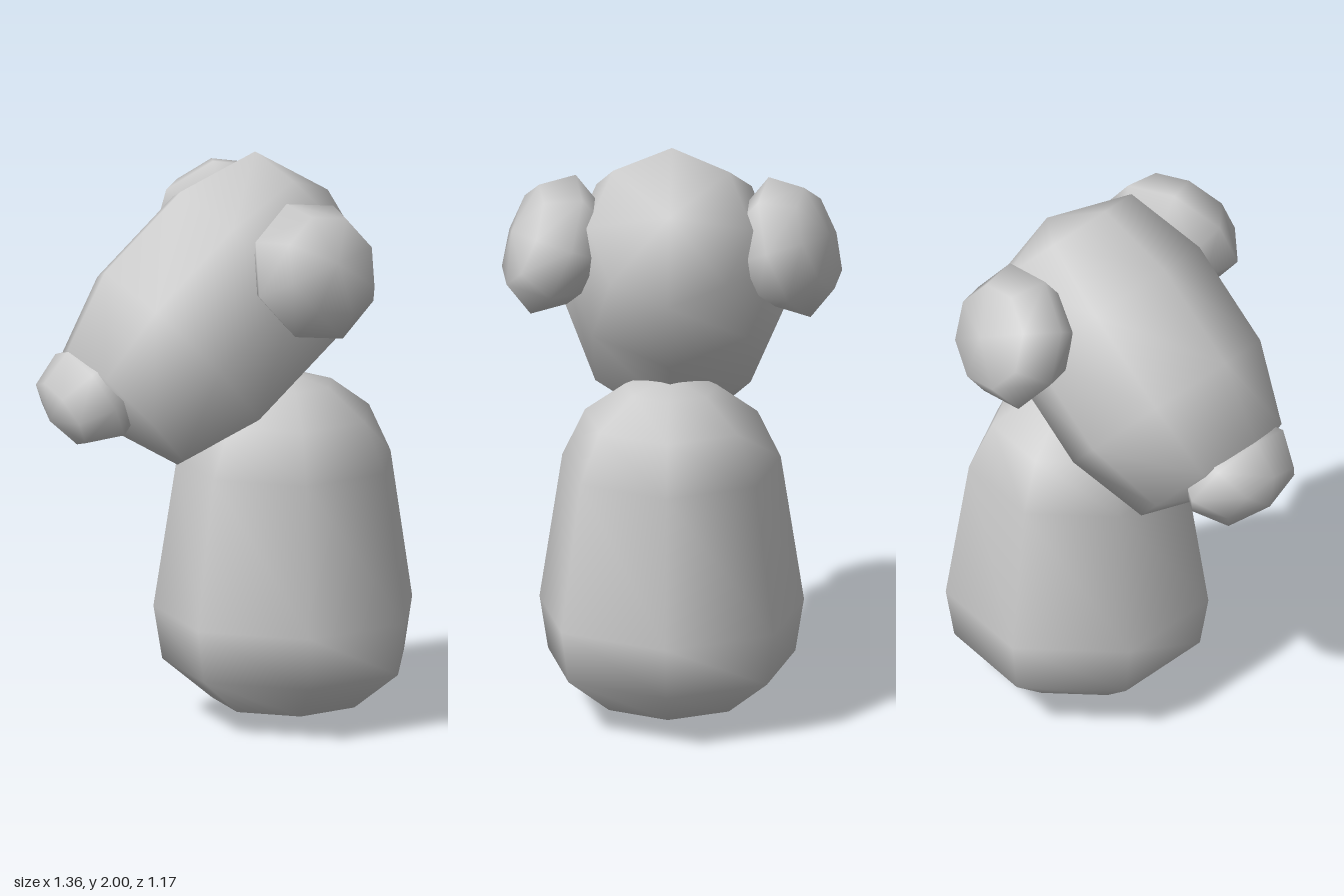
import * as THREE from 'three';
import { mergeVertices } from 'three/addons/utils/BufferGeometryUtils.js';

const material = new THREE.MeshStandardMaterial({ color: 0xcccccc });

// Smooth low-poly blob: profile of [radius, height] turned round `axis`,
// with one ridge pointing along `ridge` and its width scaled by `width`.
function blob(name, sides, profile, origin, axis, ridge, width = 1) {
  const points = profile.map(([r, h]) => new THREE.Vector2(r, h));
  let geometry = new THREE.LatheGeometry(points, sides);
  // Weld seam and poles so the shading runs smoothly over them
  geometry.deleteAttribute('normal');
  geometry.deleteAttribute('uv');
  geometry = mergeVertices(geometry, 1e-4);
  geometry.scale(width, 1, 1);
  geometry.computeVertexNormals();

  const mesh = new THREE.Mesh(geometry, material);
  const y = new THREE.Vector3(...axis).normalize();
  const x = new THREE.Vector3().crossVectors(y, new THREE.Vector3(...ridge)).normalize();
  const z = new THREE.Vector3().crossVectors(x, y);
  mesh.quaternion.setFromRotationMatrix(new THREE.Matrix4().makeBasis(x, y, z));
  mesh.position.set(...origin);
  mesh.name = name;
  return mesh;
}

// Lens-like profile centred on its origin
const lens = (radius, half) => [
  [0, -1], [0.72, -0.73], [1, 0], [0.72, 0.73], [0, 1],
].map(([r, h]) => [r * radius, h * half]);

export function createModel() {
  const model = new THREE.Group();
  model.name = 'animalFigure';

  // Upright pear-shaped body
  const bodyProfile = [
    [0, 0], [0.26, 0.06], [0.43, 0.195], [0.46, 0.38],
    [0.38, 0.9], [0.3, 1.07], [0.16, 1.175], [0, 1.21],
  ];
  model.add(blob('body', 7, bodyProfile, [0.222, 0, 0], [0, 1, 0], [1, 0, 0], 1.01));

  // Head, from the back of the skull down to the muzzle
  const headProfile = [
    [0, 0], [0.3, 0.09], [0.4, 0.37], [0.4, 0.75], [0.3, 1.03], [0, 1.12],
  ];
  model.add(blob('head', 8, headProfile, [0.37, 1.84, 0], [-0.73, -0.67, 0], [-0.67, 0.73, 0], 0.94));

  // Wide nose on the end of the muzzle
  model.add(blob('nose', 8, lens(0.178, 0.168), [-0.51, 1.2, 0], [-0.88, -0.47, 0], [-0.47, 0.88, 0], 1.32));

  // Flat ears, turned slightly backwards and splayed outwards at the bottom
  for (const side of [1, -1]) {
    const name = side > 0 ? 'frontEar' : 'backEar';
    model.add(blob(name, 8, lens(0.25, 0.155), [0.155, 1.665, side * 0.405],
      [0.2, 0.36, side * 0.9], [0.976, 0.218, side * -0.3]));
  }
  return model;
}
